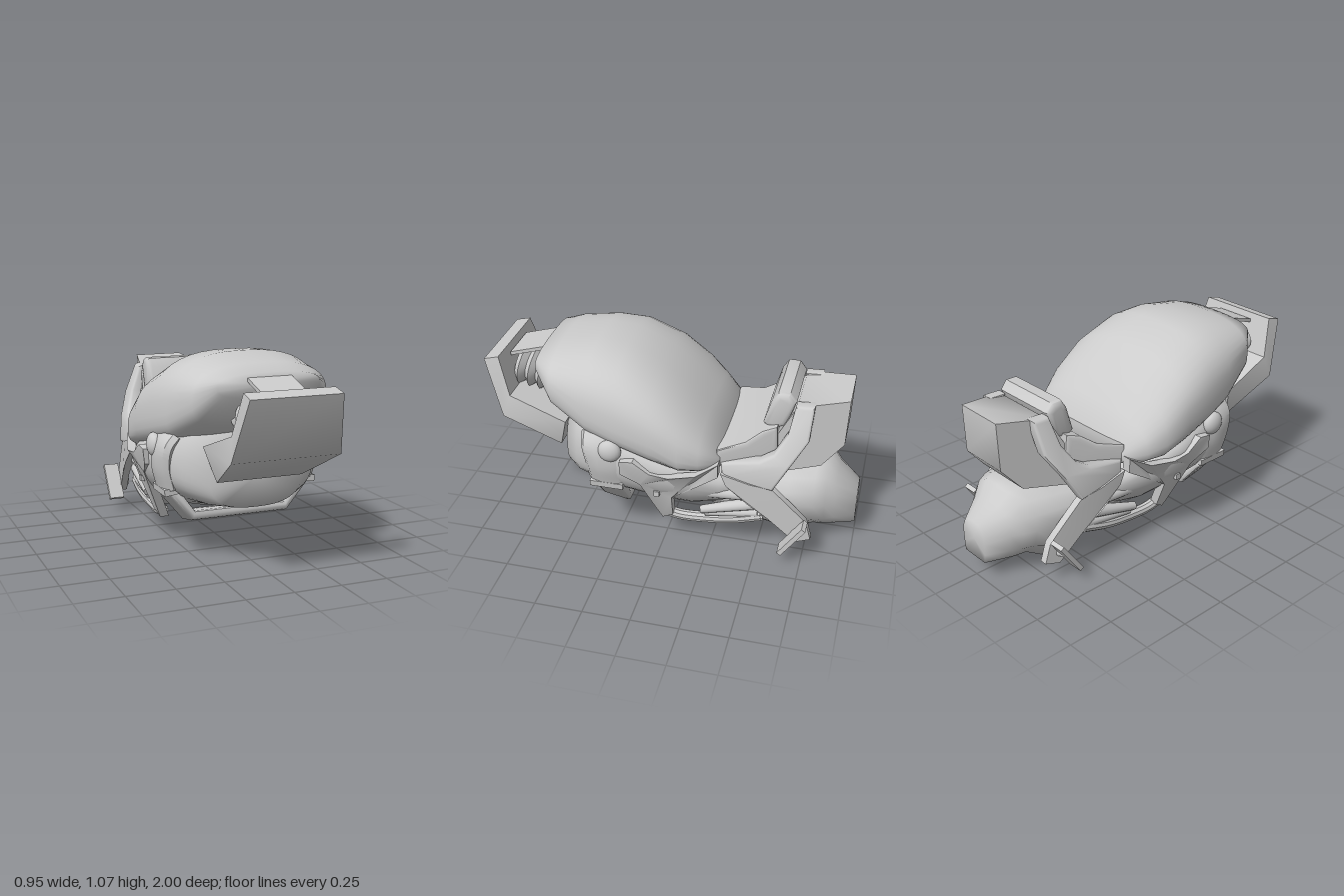
import * as THREE from 'three';
import { toCreasedNormals } from 'three/addons/utils/BufferGeometryUtils.js';

const material = new THREE.MeshStandardMaterial({ color: 0xcccccc, side: THREE.DoubleSide });

export function createModel() {
  const model = new THREE.Group();

  function add(name, geometry, crease = 0.6) {
    const mesh = new THREE.Mesh(toCreasedNormals(geometry, crease), material);
    mesh.name = name;
    model.add(mesh);
  }

  // Adds a part on the left and its mirror image on the right
  function addPair(name, geometry, crease) {
    const flat = geometry.index ? geometry.toNonIndexed() : geometry;
    const mirror = flat.clone();
    const p = mirror.attributes.position, s = flat.attributes.position;
    const order = [0, 2, 1];
    for (let i = 0; i < p.count; i++) {
      const j = i - (i % 3) + order[i % 3];
      p.setXYZ(i, -s.getX(j), s.getY(j), s.getZ(j));
    }
    add(name + 'Left', flat, crease);
    add(name + 'Right', mirror, crease);
  }

  function deform(geometry, rule) {
    const p = geometry.attributes.position;
    for (let i = 0; i < p.count; i++) p.setXYZ(i, ...rule(p.getX(i), p.getY(i), p.getZ(i)));
    return geometry;
  }

  // Unit outline, squarer with a higher power
  function outline(topPower, bottomPower, n = 44) {
    return Array.from({ length: n }, (_, j) => {
      const a = (j / n) * Math.PI * 2, e = 2 / (j < n / 2 ? topPower : bottomPower);
      const round = (v) => Math.sign(v) * Math.abs(v) ** e;
      return [round(Math.cos(a)), round(Math.sin(a))];
    });
  }

  // Body from sections [z, yBottom, yMiddle, yTop, halfWidth, ...] and a unit outline for each
  function loft(sections, profile) {
    const pos = [], index = [];
    for (const section of sections) {
      const [z, bottom, mid, top, w] = section;
      for (const [x, y] of profile(section)) pos.push(w * x, mid + y * (y > 0 ? top - mid : mid - bottom), z);
    }
    const last = sections.length - 1, n = pos.length / 3 / sections.length;
    for (let i = 0; i < last; i++) {
      for (let j = 0; j < n; j++) {
        const a = i * n + j, b = i * n + ((j + 1) % n);
        index.push(a, a + n, b, b, a + n, b + n);
      }
    }
    const front = pos.length / 3;
    pos.push(0, sections[0][2], sections[0][0], 0, sections[last][2], sections[last][0]);
    for (let j = 0; j < n; j++) {
      const k = (j + 1) % n;
      index.push(front, j, k, front + 1, last * n + k, last * n + j);
    }
    const g = new THREE.BufferGeometry();
    g.setAttribute('position', new THREE.Float32BufferAttribute(pos, 3));
    g.setIndex(index);
    return g;
  }

  // Side profile of [z, y] points extruded across x; bevel rounds the edges
  function sideExtrude(points, x0, x1, bevel = 0) {
    const shape = new THREE.Shape(points.map(([z, y]) => new THREE.Vector2(-z, y)));
    const g = new THREE.ExtrudeGeometry(shape, {
      depth: x1 - x0 - 2 * bevel, bevelEnabled: bevel > 0, bevelSize: bevel,
      bevelThickness: bevel, bevelOffset: -bevel, bevelSegments: 3,
    });
    return g.translate(0, 0, x0 + bevel).rotateY(Math.PI / 2);
  }

  function tube(points, radius, sides = 10) {
    const path = new THREE.CatmullRomCurve3(points.map((p) => new THREE.Vector3(...p)));
    return new THREE.TubeGeometry(path, 16, radius, sides);
  }

  function rod(a, b, r0, r1) {
    const start = new THREE.Vector3(...a), dir = new THREE.Vector3(...b).sub(start);
    const g = new THREE.CylinderGeometry(r1, r0, dir.length(), 14);
    g.applyQuaternion(new THREE.Quaternion().setFromUnitVectors(new THREE.Vector3(0, 1, 0), dir.clone().normalize()));
    return g.translate(...start.addScaledVector(dir, 0.5).toArray());
  }

  // Main bodies
  add('hood', loft([
    [0.7, 0.88, 0.94, 1.0, 0.27], [0.6, 0.72, 0.86, 1.035, 0.36], [0.4, 0.6, 0.77, 1.07, 0.42],
    [0.24, 0.55, 0.73, 1.06, 0.45], [0.05, 0.5, 0.68, 0.97, 0.468], [-0.1, 0.48, 0.6, 0.85, 0.46],
    [-0.2, 0.48, 0.57, 0.74, 0.42], [-0.3, 0.5, 0.55, 0.62, 0.35],
  ], () => outline(2.6, 3)), 1.7);
  add('hull', loft([
    [0.56, 0.3, 0.46, 0.7, 0.25], [0.47, 0.285, 0.5, 0.8, 0.36], [0.38, 0.275, 0.52, 0.82, 0.415], [0.2, 0.22, 0.52, 0.75, 0.445],
    [0, 0.18, 0.5, 0.65, 0.455], [-0.15, 0.16, 0.45, 0.55, 0.41], [-0.3, 0.19, 0.4, 0.52, 0.35],
    [-0.5, 0.25, 0.36, 0.46, 0.27],
  ], ([z]) => outline(2.2, 2.1 + Math.max(0, z))), 1.7);

  // Keeled tail; the sixth value is the width of the flat bottom
  add('tail', loft([
    [-0.25, 0.2, 0.3, 0.44, 0.3, 0.6], [-0.5, 0.075, 0.3, 0.45, 0.3, 0.4], [-0.65, 0, 0.3, 0.47, 0.28, 0.32],
    [-0.78, 0.1, 0.28, 0.48, 0.24, 0.55], [-0.84, 0.1, 0.27, 0.47, 0.205, 0.6], [-0.89, 0.1, 0.26, 0.4, 0.165, 0.65],
    [-1, 0.11, 0.22, 0.32, 0.09, 0.9],
  ], (section) => {
    const k = section[5];
    const half = [[k, -1], [0.25 * k + 0.75, -0.57], [1, 0], [0.95, 0.4], [0.78, 0.75], [0.45, 0.95]];
    return [...half, [0, 1], ...half.map(([x, y]) => [-x, y]).reverse()];
  }), 1.7);

  // Bent front guard with bellows and bar behind it
  const guard = sideExtrude([[1, 0.93], [0.92, 0.95], [0.86, 0.74], [0.55, 0.63], [0.6, 0.455], [0.9, 0.62]], -1, 1);
  add('frontGuard', deform(guard, (x, y, z) => [
    x * (y > 0.62 ? 0.285 - (y - 0.62) * 0.155 : 0.285 - (0.62 - y) * 0.33), y, z]), 0.85);
  const rings = [];
  for (let i = 0; i <= 10; i++) rings.push(new THREE.Vector2(i % 2 ? 0.17 : 0.13, i * 0.029));
  const bellows = new THREE.LatheGeometry(rings, 24);
  bellows.scale(1, 1, 0.68).rotateX(-Math.PI / 2 - 0.15).translate(0, 0.82, 0.88);
  add('bellows', bellows, 1);
  add('topBar', sideExtrude([[0.9, 0.92], [0.68, 0.985], [0.68, 0.965], [0.9, 0.9]], -0.115, 0.115));

  // Front bumper wrapping under the hull
  const u = [[0.41, 0.34], [0.27, 0.17], [-0.27, 0.17], [-0.41, 0.34], [-0.36, 0.37], [-0.25, 0.22], [0.25, 0.22], [0.36, 0.37]];
  const bumper = new THREE.ExtrudeGeometry(new THREE.Shape(u.map((p) => new THREE.Vector2(...p))), {
    depth: 0.13, bevelSize: 0.02, bevelThickness: 0.02, bevelOffset: -0.02, bevelSegments: 2,
  });
  add('bumper', deform(bumper.translate(0, 0, 0.22), (x, y, z) => [x, y + (z - 0.2) * 0.2, z]), 0.9);
  addPair('bumperCuff', new THREE.BoxGeometry(0.1, 0.035, 0.18).rotateZ(-0.12).translate(0.372, 0.37, 0.29));
  const arm = tube([[0.36, 0.655, 0.135], [0.4, 0.6, 0.133], [0.405, 0.5, 0.125], [0.375, 0.38, 0.12]], 0.048);
  addPair('bumperArm', arm.scale(1, 1, 2.35));
  addPair('sideBall', new THREE.SphereGeometry(0.062, 20, 14).scale(0.6, 1, 1).translate(0.435, 0.595, 0.26));

  // Side brackets follow the hull's flank
  const flank = (y, z) => 0.455 - Math.max(0, 0.5 - y) * 0.42 - Math.max(0, -0.1 - z) * 0.4;
  const onFlank = (g) => deform(g, (x, y, z) => [x + flank(y, z), y, z]);
  addPair('sideBracket', onFlank(sideExtrude([
    [0.2, 0.56], [0.2, 0.48], [0.1, 0.41], [0.04, 0.22], [0.01, 0.13], [-0.05, 0.17], [-0.06, 0.33],
    [-0.19, 0.42], [-0.3, 0.49], [-0.3, 0.57], [-0.19, 0.51], [-0.06, 0.5], [0.04, 0.51], [0.13, 0.57],
  ], -0.03, 0.02)));
  addPair('bracketStud', new THREE.BoxGeometry(0.04, 0.03, 0.03).translate(flank(0.36, 0) + 0.015, 0.36, 0.015));
  addPair('lowerRail', tube([[0.3, 0.17, 0], [0.29, 0.145, -0.08], [0.285, 0.145, -0.2], [0.29, 0.17, -0.36], [0.28, 0.21, -0.52]], 0.03));
  addPair('upperPipe', rod([0.33, 0.35, -0.2], [0.3, 0.35, -0.44], 0.032, 0.036));
  addPair('upperPipeTip', tube([[0.34, 0.33, -0.17], [0.34, 0.345, -0.2], [0.33, 0.35, -0.25]], 0.02));
  addPair('middlePipe', rod([0.32, 0.22, -0.2], [0.29, 0.29, -0.48], 0.022, 0.036));
  addPair('lowerPipe', rod([0.3, 0.19, -0.22], [0.28, 0.23, -0.5], 0.018, 0.03));

  // Seat
  const cushion = sideExtrude([[-0.28, 0.62], [-0.42, 0.66], [-0.5, 0.72], [-0.57, 0.74], [-0.58, 0.56], [-0.28, 0.52]], -1, 1, 0.03);
  add('seatCushion', deform(cushion, (x, y, z) => [x * (0.34 + (z + 0.28) * 0.36), y, z]));
  add('headrest', sideExtrude([
    [-0.49, 0.73], [-0.53, 0.87], [-0.56, 0.915], [-0.62, 0.915], [-0.655, 0.87], [-0.61, 0.73], [-0.54, 0.7],
  ], -0.2, 0.2, 0.03), 0.9);
  const backBox = sideExtrude([[-0.55, 0.45], [-0.55, 0.65], [-0.66, 0.85], [-0.92, 0.89], [-0.91, 0.63], [-0.8, 0.5]], -1, 1);
  add('backrestBox', deform(backBox, (x, y, z) => [x * (0.22 + (z + 0.55) * 0.22), y, z]), 1);
  const frame = sideExtrude([
    [-0.3, 0.55], [-0.5, 0.58], [-0.57, 0.62], [-0.63, 0.72], [-0.655, 0.86], [-0.75, 0.865],
    [-0.74, 0.7], [-0.66, 0.57], [-0.58, 0.43], [-0.32, 0.47],
  ], -0.07, 0, 0.015);
  addPair('seatFrame', deform(frame, (x, y, z) => [x + 0.36 - Math.max(0, y - 0.5) * 0.42, y, z]));

  // Foot supports
  const leg = sideExtrude([
    [-0.31, 0.5], [-0.46, 0.46], [-0.58, 0.43], [-0.68, 0.32], [-0.76, 0.23], [-0.79, 0.12], [-0.71, 0.1], [-0.57, 0.24], [-0.46, 0.33], [-0.34, 0.43],
  ], -0.03, 0.01);
  addPair('footLeg', deform(leg, (x, y, z) => [x + 0.36 - Math.max(0, -0.45 - z) * 0.18, y, z]));
  addPair('footAxle', rod([0.28, 0.16, -0.71], [0.37, 0.165, -0.705], 0.03, 0.01));
  addPair('footPedal', new THREE.BoxGeometry(0.085, 0.215, 0.025).rotateX(-0.6).translate(0.368, 0.16, -0.7));

  return model;
}
